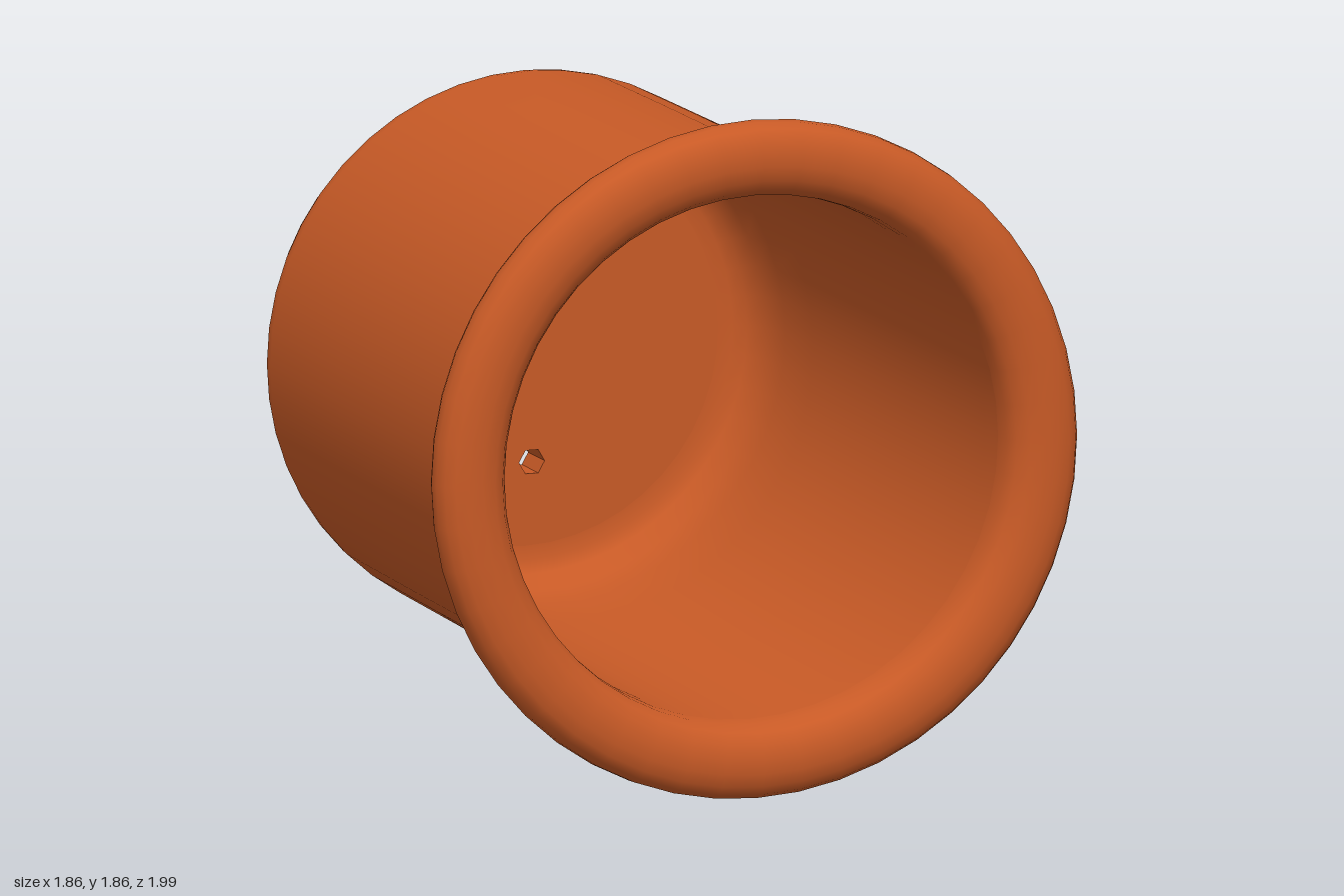
import * as THREE from 'three';

const AXIS_Y = 0.935; // height of the pot's axis as it lies on its side
const SEGMENTS = 48;
const FLOOR_BACK = -0.86, FLOOR_FRONT = -0.74, FLOOR_RADIUS = 0.56;

// Revolves a profile of [radius, z] points around the z axis
function revolve(points, material, name) {
  const geometry = new THREE.LatheGeometry(points.map(([r, z]) => new THREE.Vector2(r, z)), SEGMENTS);
  geometry.rotateX(Math.PI / 2);
  const mesh = new THREE.Mesh(geometry, material);
  mesh.name = name;
  return mesh;
}

export function createModel() {
  const clay = new THREE.MeshStandardMaterial({ color: 0xc85a26 });
  clay.name = 'terracotta';
  const pot = new THREE.Group();
  pot.name = 'pot';

  // Foot ring: recess wall, rounded end and outer wall
  pot.add(revolve([
    [FLOOR_RADIUS, FLOOR_BACK], [0.575, -0.875], [0.585, -0.9], [0.59, -0.965],
    [0.6, -0.985], [0.62, -0.993], [0.637, -0.985], [0.648, -0.96],
    [0.65, -0.93], [0.648, -0.81], [0.655, -0.79], [0.675, -0.778],
  ], clay, 'footRing'));

  // Tapered outer wall with a rounded shoulder
  pot.add(revolve([
    [0.675, -0.778], [0.715, -0.772], [0.738, -0.76], [0.75, -0.735], [0.754, -0.7],
    [0.762, -0.2], [0.769, 0.4], [0.774, 0.84], [0.775, 0.88], [0.785, 0.893],
  ], clay, 'outerWall'));

  // Rolled rim with a shallow groove behind it
  pot.add(revolve([
    [0.785, 0.893], [0.83, 0.895], [0.88, 0.885], [0.905, 0.88], [0.922, 0.89], [0.931, 0.915],
    [0.929, 0.945], [0.915, 0.972], [0.89, 0.99], [0.855, 0.999], [0.815, 1.0],
    [0.775, 0.99], [0.745, 0.968], [0.727, 0.935], [0.722, 0.89],
  ], clay, 'rim'));

  // Inner wall curving into the floor
  pot.add(revolve([
    [0.722, 0.89], [0.719, 0.8], [0.71, 0.2], [0.7, -0.4], [0.69, -0.58],
    [0.67, -0.67], [0.635, -0.72], [0.6, -0.737], [FLOOR_RADIUS, FLOOR_FRONT],
  ], clay, 'innerWall'));

  // Floor with two drain holes
  const disc = new THREE.Shape();
  disc.absarc(0, 0, FLOOR_RADIUS, 0, Math.PI * 2);
  for (const [x, y] of [[0.03, 0.315], [0.02, -0.33]]) {
    const hole = new THREE.Path();
    for (let i = 0; i < 6; i++) {
      const a = -i * Math.PI / 3;
      const px = x + 0.037 * Math.cos(a), py = y + 0.037 * Math.sin(a);
      if (i) hole.lineTo(px, py); else hole.moveTo(px, py);
    }
    hole.closePath();
    disc.holes.push(hole);
  }
  const floor = new THREE.Mesh(new THREE.ExtrudeGeometry(disc, {
    depth: FLOOR_FRONT - FLOOR_BACK, bevelEnabled: false, curveSegments: SEGMENTS,
  }), clay);
  floor.name = 'floor';
  floor.position.z = FLOOR_BACK;
  pot.add(floor);

  pot.position.y = AXIS_Y;
  const model = new THREE.Group();
  model.name = 'lyingPot';
  model.add(pot);
  return model;
}
